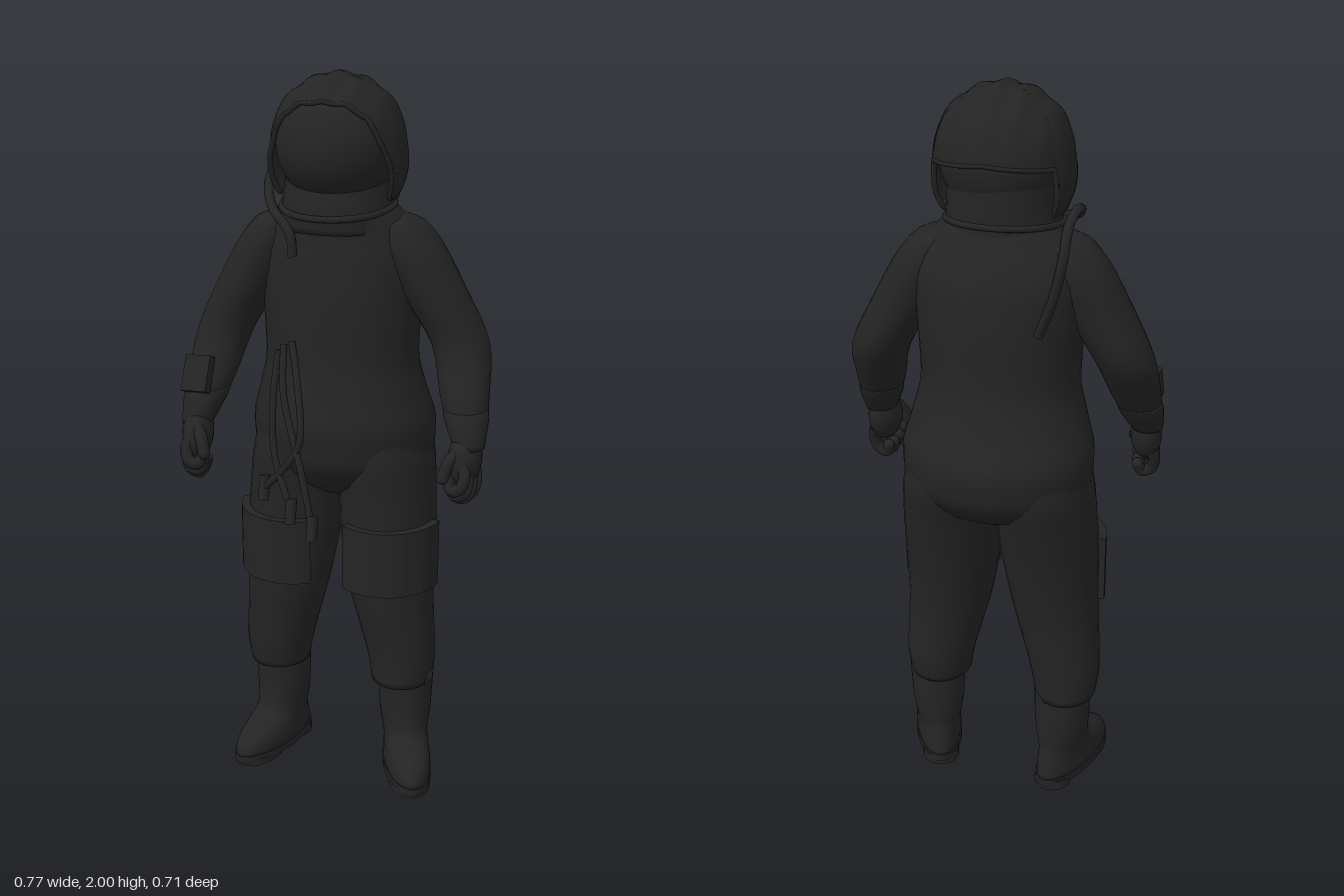
import * as THREE from 'three';

const suit = new THREE.MeshStandardMaterial({ color: 0x242424, side: THREE.DoubleSide });
const V = (x, y, z) => new THREE.Vector3(x, y, z);
// diagonal stance: convert a point on the ground grid to the figure's own axes
const G = ([x, y, z]) => V((x + z) * Math.SQRT1_2, y, (z - x) * Math.SQRT1_2);

function add(parent, name, geo) {
  const m = new THREE.Mesh(geo, suit);
  m.name = name;
  parent.add(m);
  return m;
}

// closed skin: fn(u, angle) gives a point, u runs bottom to top, angle 0 faces +z
function skin(rows, cols, fn, capped = true) {
  const pos = [], idx = [];
  for (let i = 0; i <= rows; i++)
    for (let j = 0; j < cols; j++) pos.push(...fn(i / rows, (j / cols) * Math.PI * 2).toArray());
  for (let i = 0; i < rows; i++)
    for (let j = 0; j < cols; j++) {
      const a = i * cols + j, b = i * cols + (j + 1) % cols;
      idx.push(a, b, a + cols, b, b + cols, a + cols);
    }
  if (capped)
    for (const i of [0, rows]) {
      const c = V(0, 0, 0), n = pos.length / 3;
      for (let j = 0; j < cols; j++) c.add(V().fromArray(pos, (i * cols + j) * 3));
      pos.push(...c.divideScalar(cols).toArray());
      for (let j = 0; j < cols; j++) {
        const a = i * cols + j, b = i * cols + (j + 1) % cols;
        idx.push(...(i ? [a, b, n] : [b, a, n]));
      }
    }
  const g = new THREE.BufferGeometry();
  g.setAttribute('position', new THREE.Float32BufferAttribute(pos, 3));
  g.setIndex(idx);
  g.computeVertexNormals();
  return g;
}

// loft through level elliptical rings [x, y, z, rx, rz], listed bottom to top
function loft(rings, cols = 28, steps = 4) {
  const centre = new THREE.CatmullRomCurve3(rings.map(r => V(r[0], r[1], r[2])));
  const radius = new THREE.CatmullRomCurve3(rings.map(r => V(r[3], 0, r[4])));
  return skin((rings.length - 1) * steps, cols, (u, a) => {
    const c = centre.getPoint(u), r = radius.getPoint(u);
    return V(c.x + r.x * Math.sin(a), c.y, c.z + r.z * Math.cos(a));
  });
}
const flip = (rings, s) => rings.map(([x, ...rest]) => [x * s, ...rest]);

const hose = (pts, r) => new THREE.TubeGeometry(new THREE.CatmullRomCurve3(pts), 40, r, 8);

function buildTorso(fig) {
  add(fig, 'torso', loft([
    [0, 0.855, -0.10, 0.07, 0.09], [0, 0.9, -0.105, 0.2, 0.162], [0, 0.97, -0.11, 0.253, 0.214],
    [0, 1.06, -0.108, 0.257, 0.228], [0, 1.15, -0.095, 0.234, 0.203], [0, 1.26, -0.085, 0.212, 0.18],
    [0, 1.42, -0.085, 0.22, 0.18], [0, 1.53, -0.085, 0.225, 0.17], [0, 1.6, -0.075, 0.205, 0.152],
    [0, 1.64, -0.06, 0.172, 0.145], [0, 1.67, -0.05, 0.146, 0.142]], 40));
  add(fig, 'neck', loft([[0, 1.6, -0.055, 0.155, 0.15], [0, 1.66, -0.05, 0.15, 0.148],
    [0, 1.72, -0.055, 0.143, 0.142], [0, 1.8, -0.055, 0.14, 0.14]], 36));
  const ring = add(fig, 'collarRing', new THREE.TorusGeometry(0.149, 0.009, 8, 40));
  ring.rotation.x = Math.PI / 2 + 0.12;
  ring.position.set(0, 1.66, -0.047);
}

function buildHelmet(fig) {
  const helmet = new THREE.Group();
  helmet.name = 'helmet';
  helmet.position.set(0.005, 1.82, -0.035);
  fig.add(helmet);
  add(helmet, 'visor', new THREE.SphereGeometry(1, 36, 24)).scale.set(0.163, 0.162, 0.172);
  // lower edge of the shell: high over the brow, low at the ears, level behind
  const stops = [[0, 49], [25, 51], [45, 64], [66, 106], [74, 130], [112, 132], [120, 92], [180, 86]];
  const edge = a => {
    const d = THREE.MathUtils.radToDeg(a > Math.PI ? 2 * Math.PI - a : a);
    const k = Math.max(1, stops.findIndex(s => s[0] >= d - 1e-6));
    const [p, q] = [stops[k - 1], stops[k]];
    return THREE.MathUtils.degToRad(p[1] + (q[1] - p[1]) * (d - p[0]) / (q[0] - p[0]));
  };
  // raised ridges run from brow to nape, ear flaps swell outward
  const shell = (u, a) => {
    const t = Math.max(0.002, edge(a) * (1 - u)), x = Math.sin(t) * Math.sin(a), c = Math.cos(t);
    const r = 0.177 + 0.004 * Math.cos(x * 17) * Math.max(0, c) + 0.045 * Math.max(0, -c);
    return V(x * r, c * r, Math.sin(t) * Math.cos(a) * r);
  };
  add(helmet, 'shell', skin(24, 96, shell, false));
  const rim = [];
  for (let j = 0; j < 72; j++) rim.push(shell(0, (j / 72) * Math.PI * 2).multiplyScalar(0.98));
  add(helmet, 'shellRim', new THREE.TubeGeometry(new THREE.CatmullRomCurve3(rim, true), 144, 0.007, 6, true));
}

function buildLeg(fig, s, ankle, splay) {
  add(fig, 'trouserLeg', loft(flip([
    [0.19, 0.29, ankle.z + 0.008, 0.086, 0.098], [0.187, 0.36, -0.076, 0.097, 0.105],
    [0.172, 0.46, -0.072, 0.108, 0.112], [0.155, 0.57, -0.07, 0.12, 0.124], [0.14, 0.74, -0.082, 0.134, 0.146],
    [0.132, 0.88, -0.098, 0.134, 0.168], [0.125, 0.97, -0.105, 0.13, 0.185], [0.115, 1.06, -0.108, 0.12, 0.18]], s)));
  // thigh pocket wrapped around the front, thinning toward the outer side
  const pocket = new THREE.BoxGeometry(1, 0.19, 0.03, 16, 1, 1), p = pocket.attributes.position;
  for (let i = 0; i < p.count; i++) {
    const u = p.getX(i), a = 0.42 + u * 2.14, o = p.getZ(i) + 0.005 - 0.01 * u;
    p.setXYZ(i, s * (0.143 + Math.sin(a) * (0.134 + o)), 0.695 + p.getY(i), -0.08 + Math.cos(a) * (0.145 + o));
  }
  if (s < 0) pocket.index.array.reverse();
  const flat = pocket.toNonIndexed();
  flat.computeVertexNormals();
  add(fig, 'thighPocket', flat);

  const boot = new THREE.Group();
  boot.name = 'boot';
  boot.position.copy(ankle);
  boot.rotation.y = splay;
  fig.add(boot);
  add(boot, 'bootUpper', loft([[0, 0.02, 0.056, 0.06, 0.16], [0, 0.045, 0.056, 0.067, 0.164],
    [0, 0.075, 0.05, 0.066, 0.152], [0, 0.1, 0.032, 0.064, 0.126], [0, 0.13, 0.006, 0.066, 0.092],
    [0, 0.2, -0.003, 0.076, 0.084], [0, 0.32, 0, 0.081, 0.086]], 32));
  const sole = add(boot, 'sole', new THREE.CylinderGeometry(1, 1, 0.022, 32));
  sole.scale.set(0.069, 1, 0.168);
  sole.position.set(0, 0.027, 0.056);
  const heel = add(boot, 'heel', new THREE.CylinderGeometry(0.053, 0.053, 0.03, 20));
  heel.position.set(0, 0.015, -0.052);
  const pad = add(boot, 'solePad', new THREE.CylinderGeometry(1, 1, 0.02, 24));
  pad.scale.set(0.06, 1, 0.09);
  pad.position.set(0, 0.014, 0.125);
}

function buildArm(fig, s, shoulder, elbow, wrist, bend) {
  const at = (a, b, t, rx, rz) => {
    const v = a.clone().lerp(b, t);
    return [v.x, v.y, v.z, rx, rz];
  };
  add(fig, 'sleeve', loft([at(elbow, wrist, 0.9, 0.052, 0.058), at(elbow, wrist, 0.55, 0.066, 0.072),
    at(elbow, wrist, 0, 0.078, 0.085), at(shoulder, elbow, 0.5, 0.088, 0.098),
    at(shoulder, elbow, 0.1, 0.088, 0.105), [s * 0.158, 1.617, shoulder.z, 0.07, 0.088],
    [s * 0.13, 1.64, shoulder.z, 0.035, 0.05]]));
  add(fig, 'gloveCuff', loft([at(elbow, wrist, 1.12, 0.042, 0.046), at(elbow, wrist, 0.95, 0.052, 0.058),
    at(elbow, wrist, 0.8, 0.06, 0.066), at(elbow, wrist, 0.7, 0.061, 0.067)], 24, 3));

  // glove hangs down with fingers curled toward the thigh
  const hand = new THREE.Group();
  hand.name = 'glove';
  hand.position.copy(wrist);
  hand.rotation.set(bend, -s * 0.2, 0);
  fig.add(hand);
  const palm = add(hand, 'palm', new THREE.SphereGeometry(1, 20, 14));
  palm.scale.set(0.043, 0.074, 0.058);
  palm.position.set(0, -0.06, 0.005);
  for (let i = 0; i < 4; i++) {
    const z = -0.036 + i * 0.026, l = 0.9 + 0.1 * Math.sin(i + 0.5);
    add(hand, 'finger', hose([V(s * 0.012, -0.08, z), V(s * 0.02, -0.12 * l, z), V(s * 0.01, -0.16 * l, z),
      V(-s * 0.015, -0.168 * l, z), V(-s * 0.026, -0.14 * l, z)], 0.0165));
    add(hand, 'fingertip', new THREE.SphereGeometry(0.0165, 10, 8)).position.set(-s * 0.026, -0.14 * l, z);
  }
  add(hand, 'thumb', hose([V(0, -0.035, 0.035), V(-s * 0.02, -0.07, 0.06), V(-s * 0.034, -0.115, 0.06)], 0.017));
  add(hand, 'thumbTip', new THREE.SphereGeometry(0.017, 10, 8)).position.set(-s * 0.034, -0.115, 0.06);
}

function buildGear(fig) {
  // breathing hose loops from the back over the right shoulder to the collar
  add(fig, 'backHose', hose([[0.065, 1.43, -0.27], [0.05, 1.54, -0.315], [0.038, 1.64, -0.338],
    [0.015, 1.71, -0.32], [-0.04, 1.73, -0.265], [-0.09, 1.71, -0.2], [-0.122, 1.675, -0.13],
    [-0.14, 1.645, -0.05], [-0.125, 1.6, 0.005], [-0.12, 1.54, 0.01]].map(G), 0.013));
  // hanging hoses and their connectors on the right front
  const runs = [
    [[-0.12, 1.31, 0], [-0.125, 1.22, 0.04], [-0.135, 1.05, 0.075], [-0.16, 0.96, 0.02], [-0.185, 0.89, -0.05]],
    [[-0.135, 1.3, -0.02], [-0.15, 1.17, 0.01], [-0.135, 0.97, 0.085], [-0.12, 0.82, 0.12]],
    [[-0.14, 1.28, -0.04], [-0.165, 1.15, -0.025], [-0.17, 1.0, -0.01], [-0.15, 0.85, 0.05]]];
  for (const run of runs) {
    const pts = run.map(G);
    add(fig, 'frontHose', hose(pts, 0.01));
    const end = add(fig, 'hoseConnector', new THREE.CylinderGeometry(0.015, 0.015, 0.07, 12));
    end.position.copy(pts[pts.length - 1]);
    end.rotation.x = -0.2;
  }
  const pad = add(fig, 'wristPad', new THREE.BoxGeometry(0.08, 0.1, 0.025));
  pad.position.set(-0.352, 1.2, 0.102);
  pad.rotation.set(-0.45, -0.2, 0);
}

export function createModel() {
  const model = new THREE.Group();
  model.name = 'suitedFigure';
  const fig = new THREE.Group();
  fig.name = 'figure';
  fig.rotation.y = -Math.PI / 4;
  model.add(fig);
  buildTorso(fig);
  buildHelmet(fig);
  buildLeg(fig, 1, V(0.2, 0, -0.078), 0.4);
  buildLeg(fig, -1, V(-0.186, 0, -0.09), -0.27);
  buildArm(fig, 1, V(0.185, 1.57, -0.075), V(0.332, 1.3, -0.085), V(0.385, 1.08, 0.022), -0.25);
  buildArm(fig, -1, V(-0.185, 1.57, -0.06), V(-0.318, 1.31, -0.032), V(-0.354, 1.09, 0.085), -0.35);
  buildGear(fig);
  return model;
}
